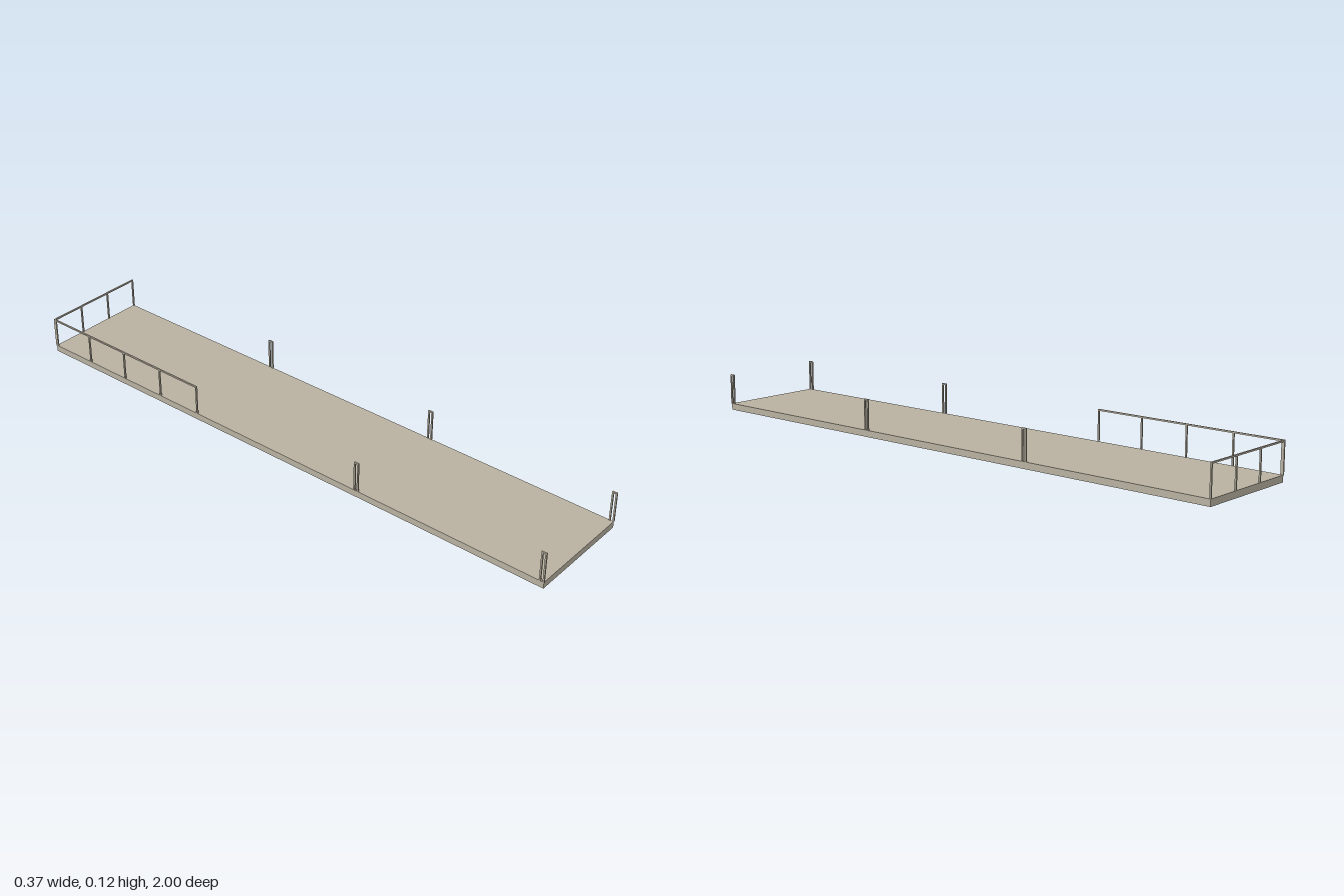
import * as THREE from 'three';

export function createModel() {
  const model = new THREE.Group();
  model.name = 'platform';
  const stone = new THREE.MeshStandardMaterial({ color: 0xb8b0a0 });
  stone.name = 'warm grey';

  const deckTop = 0.022, railTop = 0.125, bar = 0.005;
  const X = 0.184, Z = 0.9975; // centre lines of the railings
  const bay = Z / 6;

  function box(parent, name, w, h, d, x, y, z) {
    const mesh = new THREE.Mesh(new THREE.BoxGeometry(w, h, d), stone);
    mesh.name = name;
    mesh.position.set(x, y, z);
    parent.add(mesh);
  }

  // Straight railing between two points: evenly spaced posts under a top rail
  function railing(name, x0, z0, x1, z1, bays) {
    const group = new THREE.Group();
    group.name = name;
    const postHeight = railTop - bar - deckTop;
    for (let i = 0; i <= bays; i++) {
      const t = i / bays;
      box(group, 'post', bar, postHeight, bar,
        x0 + (x1 - x0) * t, deckTop + postHeight / 2, z0 + (z1 - z0) * t);
    }
    box(group, 'topRail', Math.abs(x1 - x0) + bar, bar, Math.abs(z1 - z0) + bar,
      (x0 + x1) / 2, railTop - bar / 2, (z0 + z1) / 2);
    model.add(group);
  }

  // Floor slab
  box(model, 'deck', 0.369, deckTop, 1.997, 0, deckTop / 2, 0);

  // Long railings around the back right corner
  railing('backRailing', -X, -Z, X, -Z, 3);
  railing('sideRailing', -X, -2 * bay, -X, -Z + bar, 4);

  // Short double-post stubs along the open edges
  for (const [x, z] of [[X, Z], [X, 2 * bay], [X, -2 * bay], [-X, Z], [-X, 2 * bay]]) {
    railing('shortRailing', x, z, x, z - 0.0125, 1);
  }
  return model;
}
